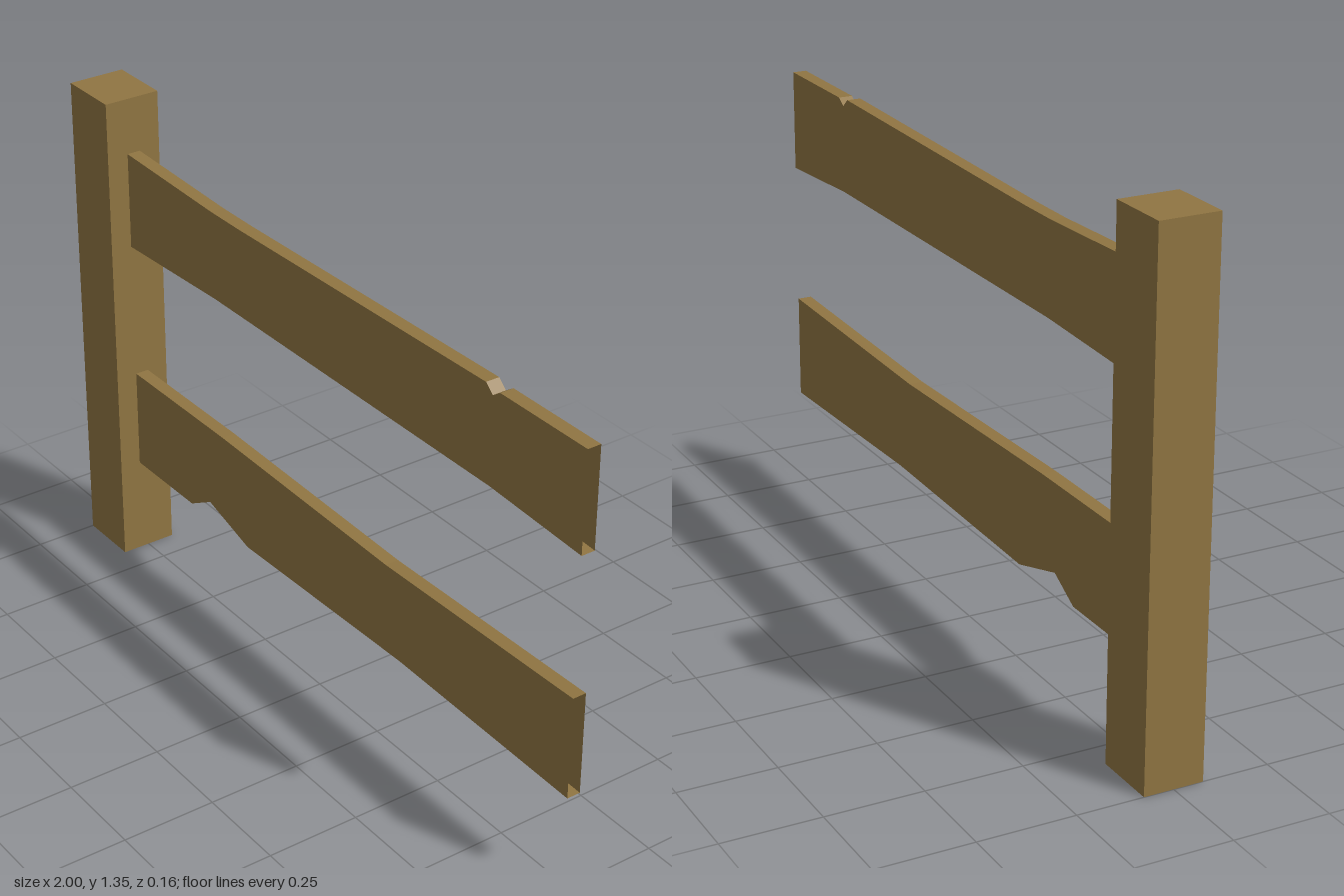
import * as THREE from 'three';

const wood = new THREE.MeshStandardMaterial({ color: 0x907542, flatShading: true, side: THREE.DoubleSide });

// Removes the triangles lying flat on the plane axis = value, leaving the shell open there
function openAt(geometry, axis, value) {
  const g = geometry.index ? geometry.toNonIndexed() : geometry;
  const src = g.attributes.position;
  const kept = [];
  for (let i = 0; i < src.count; i += 3) {
    const corners = [0, 1, 2].map(k => new THREE.Vector3().fromBufferAttribute(src, i + k));
    if (corners.every(c => Math.abs(c[axis] - value) < 1e-4)) continue;
    corners.forEach(c => kept.push(c.x, c.y, c.z));
  }
  const out = new THREE.BufferGeometry();
  out.setAttribute('position', new THREE.Float32BufferAttribute(kept, 3));
  out.computeVertexNormals();
  return out;
}

// Hollow plank from its upper and lower edge lines, both listed left to right
function makeRail(name, upper, lower) {
  const depth = 0.037;
  const outline = [...lower, ...upper.slice().reverse()].map(p => new THREE.Vector2(...p));
  let g = new THREE.ExtrudeGeometry(new THREE.Shape(outline), { depth, bevelEnabled: false });
  g.translate(0, 0, -depth / 2);
  g = openAt(openAt(g, 'x', START), 'x', END);
  const mesh = new THREE.Mesh(g, wood);
  mesh.name = name;
  return mesh;
}

const START = -0.83, END = 1;

export function createModel() {
  const group = new THREE.Group();
  group.name = 'fenceSection';

  // Square post, open underneath
  const postGeometry = new THREE.BoxGeometry(0.172, 1.35, 0.155);
  postGeometry.translate(-0.914, 0.675, 0);
  const post = new THREE.Mesh(openAt(postGeometry, 'y', 0), wood);
  post.name = 'post';

  // Upper rail with a small nick in its top edge
  const upperRail = makeRail('upperRail',
    [[START, 1.198], [-0.44, 1.186], [-0.32, 1.186], [0.655, 1.203], [0.68, 1.181], [0.705, 1.198], [END, 1.198]],
    [[START, 0.932], [-0.43, 0.947], [0.68, 0.947], [END, 0.93]]);

  // Lower rail with a chipped bottom edge
  const lowerRail = makeRail('lowerRail',
    [[START, 0.551], [-0.41, 0.551], [0.3, 0.535], [END, 0.551]],
    [[START, 0.272], [-0.565, 0.272], [-0.475, 0.322], [-0.3, 0.272], [0.36, 0.287], [END, 0.271]]);

  group.add(post, upperRail, lowerRail);
  return group;
}
